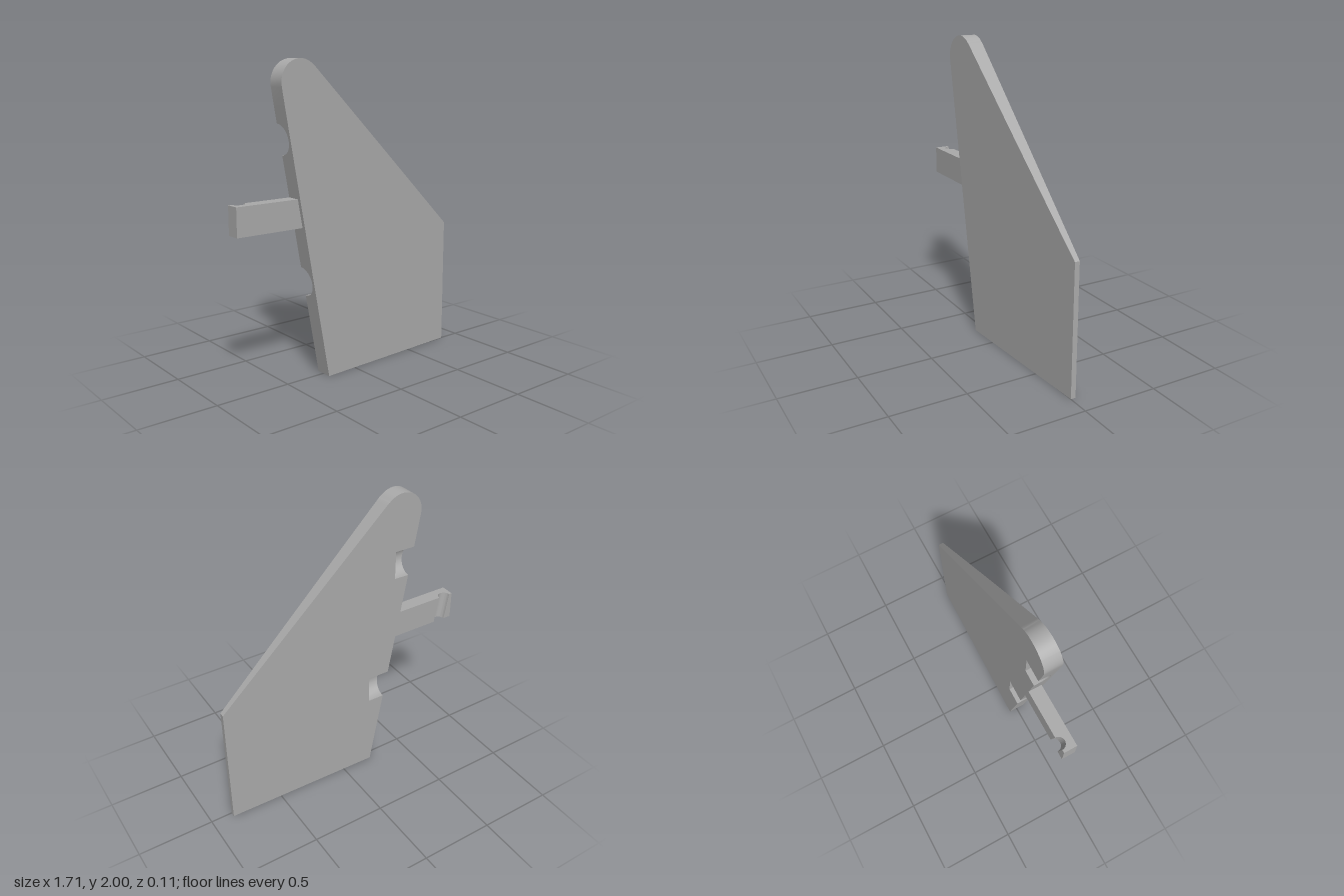
import * as THREE from 'three';
import { toCreasedNormals } from 'three/addons/utils/BufferGeometryUtils.js';

const LEAN = 0.179; // sideways lean of the slanted edge per unit of height
const TIP = { x: -0.41, y: 1.86, r: 0.14 };
const NOTCHES = [{ y: 0.625, r: 0.095, wall: -0.2 }, { y: 1.525, r: 0.095, wall: -0.375 }];

// Outline of the fin as left and right limits at each height
const slant = (y) => -0.22 - LEAN * y;
const tipHalf = (y) => Math.sqrt(Math.max(0, TIP.r ** 2 - (y - TIP.y) ** 2));
const left = (y) => (y < 1.835 ? slant(y) : TIP.x - tipHalf(y));
const right = (y) => (y <= 0.86 ? 0.855 : y < 1.962 ? 0.855 - (y - 0.86) * 1.0586 : TIP.x + tipHalf(y));

// Thickness tapers from the slanted edge to the straight edge
const taper = (x, y) => (x - slant(y)) / (0.855 - slant(y));
const front = (x, y) => 0.06 * (1 - taper(x, y));
const back = (x, y) => -0.055 + 0.022 * taper(x, y);

function finGeometry() {
  // Heights of the rows, finer around the notches and the rounded tip
  const rows = [0, 0.86, 1.835, 1.962];
  for (let y = 0.1; y < 1.8; y += 0.1) rows.push(y);
  for (let i = 0; i <= 20; i++) {
    const c = Math.cos((Math.PI * i) / 20);
    NOTCHES.forEach((n) => rows.push(n.y - n.r * c));
    if (c >= 0) rows.push(TIP.y + TIP.r * c);
  }
  rows.sort((a, b) => a - b);
  const ys = rows.filter((y, i) => i === 0 || y - rows[i - 1] > 1e-5);

  const pos = [];
  const quad = (a, b, c, d) => pos.push(...a, ...b, ...c, ...a, ...c, ...d);
  // Strip between two rows; p and q give the start and end point at a height
  const strip = (p, q, y0, y1) => quad(p(y0), q(y0), q(y1), p(y1));

  const LF = (y) => [left(y), y, front(left(y), y)];
  const RF = (y) => [right(y), y, front(right(y), y)];
  const LB = (y) => [left(y), y, back(left(y), y)];
  const RB = (y) => [right(y), y, back(right(y), y)];

  for (let i = 0; i < ys.length - 1; i++) {
    const y0 = ys[i], y1 = ys[i + 1], mid = (y0 + y1) / 2;
    strip(LF, RF, y0, y1);
    strip(RF, RB, y0, y1);
    const n = NOTCHES.find((k) => Math.abs(mid - k.y) < k.r);
    if (!n) {
      strip(RB, LB, y0, y1);
      strip(LB, LF, y0, y1);
      continue;
    }
    // Half-round notch open to the back and the slanted edge
    const depth = (y) => Math.sqrt(Math.max(0, n.r ** 2 - (y - n.y) ** 2));
    const WB = (y) => [n.wall, y, back(n.wall, y)];
    const WN = (y) => [n.wall, y, back(n.wall, y) + depth(y)];
    const LN = (y) => [left(y), y, back(left(y), y) + depth(y)];
    strip(RB, WB, y0, y1);
    strip(WB, WN, y0, y1);
    strip(WN, LN, y0, y1);
    strip(LN, LF, y0, y1);
  }
  quad(LB(0), RB(0), RF(0), LF(0)); // underside

  const g = new THREE.BufferGeometry();
  g.setAttribute('position', new THREE.Float32BufferAttribute(pos, 3));
  return toCreasedNormals(g, 0.5);
}

function pegGeometry() {
  // Plan of the peg with a round groove in its back
  const s = new THREE.Shape();
  s.moveTo(-0.855, -0.035);
  s.lineTo(-0.41, -0.035);
  s.lineTo(-0.41, 0.055);
  s.lineTo(-0.734, 0.055);
  s.absarc(-0.776, 0.055, 0.042, 0, Math.PI, true);
  s.lineTo(-0.855, 0.055);
  const g = new THREE.ExtrudeGeometry(s, { depth: 0.18, bevelEnabled: false, curveSegments: 20 });
  g.rotateX(-Math.PI / 2).translate(0, 0.99, 0);
  // Lean the groove and inner end to match the slanted edge
  const p = g.attributes.position;
  for (let i = 0; i < p.count; i++) {
    if (p.getX(i) > -0.85) p.setX(i, p.getX(i) - LEAN * (p.getY(i) - 1.08));
  }
  return toCreasedNormals(g, 0.5);
}

export function createModel() {
  const grey = new THREE.MeshStandardMaterial({ color: 0xaaaaaa });
  grey.name = 'grey';
  const group = new THREE.Group();
  group.name = 'rudder';
  const add = (name, geometry) => {
    const mesh = new THREE.Mesh(geometry, grey);
    mesh.name = name;
    group.add(mesh);
  };
  add('fin', finGeometry());
  add('hingePeg', pegGeometry());
  return group;
}
